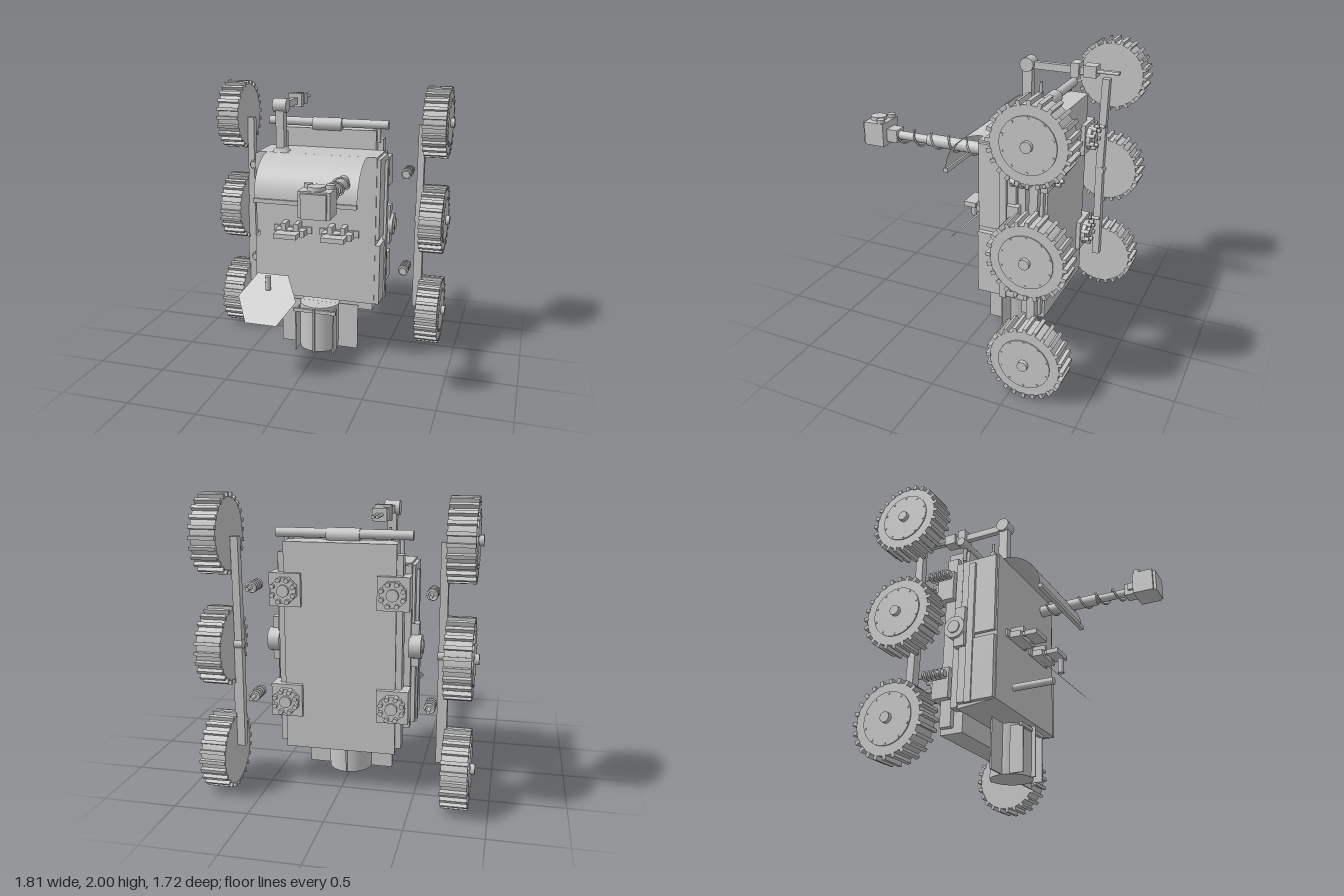
import * as THREE from 'three';

export function createModel() {
  const grey = new THREE.MeshStandardMaterial({ color: 0xc8c8c8 });
  grey.name = 'plain grey';
  const greySheet = new THREE.MeshStandardMaterial({ color: 0xc8c8c8, side: THREE.DoubleSide });
  greySheet.name = 'plain grey sheet';
  const root = new THREE.Group();
  root.name = 'rover';

  const add = (parent, name, geo, x = 0, y = 0, z = 0, mat = grey) => {
    const m = new THREE.Mesh(geo, mat);
    m.name = name;
    m.position.set(x, y, z);
    parent.add(m);
    return m;
  };
  // box given by its limits on each axis
  const box = (parent, name, x0, x1, y0, y1, z0, z1) =>
    add(parent, name, new THREE.BoxGeometry(Math.abs(x1 - x0), y1 - y0, Math.abs(z1 - z0)),
      (x0 + x1) / 2, (y0 + y1) / 2, (z0 + z1) / 2);
  // cylinder along an axis, centred on a point
  const rod = (parent, name, axis, r, len, x, y, z, sides = 20) => {
    const g = new THREE.CylinderGeometry(r, r, len, sides);
    if (axis === 'x') g.rotateZ(-Math.PI / 2);
    if (axis === 'z') g.rotateX(Math.PI / 2);
    return add(parent, name, g, x, y, z);
  };
  // wire wound around an axis parallel to z
  const coil = (parent, name, x, y, z0, z1, r, turns, wire) => {
    const pts = [];
    const n = turns * 12;
    for (let i = 0; i <= n; i++) {
      const a = (i / 12) * Math.PI * 2;
      pts.push(new THREE.Vector3(r * Math.cos(a), r * Math.sin(a), z0 + (z1 - z0) * i / n));
    }
    const curve = new THREE.CatmullRomCurve3(pts);
    return add(parent, name, new THREE.TubeGeometry(curve, n * 2, wire, 6), x, y, 0);
  };

  // Main body, extruded across x from a side profile with a sloped lower edge
  const profile = new THREE.Shape([[0.085, 0.46], [0.375, 0.43], [0.375, 1.55], [0.085, 1.55]]
    .map(p => new THREE.Vector2(p[0], p[1])));
  const bodyGeo = new THREE.ExtrudeGeometry(profile, { depth: 0.88, bevelEnabled: false });
  bodyGeo.translate(0, 0, -0.44).rotateY(Math.PI / 2);
  // after the turn, profile x has become -z
  add(root, 'body', bodyGeo);
  box(root, 'backBody', -0.37, 0.37, 0.29, 1.69, -0.54, -0.37);
  box(root, 'backPlate', -0.41, 0.41, 0.33, 1.62, -0.525, -0.44);
  box(root, 'rearDeck', -0.45, 0.45, 0.44, 1.54, -0.42, -0.37);

  // Side panels, side motors and bar posts
  for (const s of [-1, 1]) {
    box(root, 'upperSidePanel', s * 0.43, s * 0.465, 0.95, 1.535, -0.36, -0.095);
    box(root, 'lowerSidePanel', s * 0.43, s * 0.475, 0.46, 0.91, -0.36, -0.09);
    box(root, 'sideStrip', s * 0.46, s * 0.485, 0.45, 1.5, -0.30, -0.25);
    box(root, 'motorPlate', s * 0.45, s * 0.50, 0.86, 1.155, -0.39, -0.31);
    rod(root, 'sideMotor', 'x', 0.08, 0.08, s * 0.48, 1.0, -0.38, 24);
    rod(root, 'sideMotorCap', 'x', 0.045, 0.02, s * 0.52, 1.0, -0.38, 16);
    for (const x of [0.35, 0.385]) rod(root, 'barPost', 'y', 0.014, 0.12, s * x, 1.66, -0.4, 10);
  }

  // Top bar with its grip
  rod(root, 'topBar', 'x', 0.032, 0.91, 0, 1.732, -0.4, 16);
  rod(root, 'topBarGrip', 'x', 0.05, 0.22, 0, 1.72, -0.395, 16);

  // Curved awning over the front, with an end rail
  const awning = new THREE.CylinderGeometry(0.29, 0.29, 0.74, 24, 1, true, 0, Math.PI / 2);
  awning.rotateZ(Math.PI / 2).rotateX(0);
  // aim the quarter arc so it runs from straight up to straight forward
  const p = awning.attributes.position, nm = awning.attributes.normal;
  for (const a of [p, nm]) for (let i = 0; i < a.count; i++) a.setXYZ(i, a.getX(i), Math.abs(a.getY(i)), Math.abs(a.getZ(i)));
  // keep the winding facing outwards
  const ia = awning.index.array, e1 = new THREE.Vector3(), e2 = new THREE.Vector3(), v0 = new THREE.Vector3(), n0 = new THREE.Vector3();
  for (let t = 0; t < ia.length; t += 3) {
    v0.fromBufferAttribute(p, ia[t]);
    e1.fromBufferAttribute(p, ia[t + 1]).sub(v0);
    e2.fromBufferAttribute(p, ia[t + 2]).sub(v0);
    if (e1.cross(e2).dot(n0.fromBufferAttribute(nm, ia[t])) < 0) [ia[t + 1], ia[t + 2]] = [ia[t + 2], ia[t + 1]];
  }
  add(root, 'awning', awning, 0, 1.26, -0.09, greySheet);
  box(root, 'awningRail', -0.37, 0.37, 1.245, 1.275, 0.185, 0.215);

  // Mast with a rear-pointing arm
  const mast = new THREE.Group();
  mast.name = 'mast';
  root.add(mast);
  add(mast, 'mastFoot', new THREE.CylinderGeometry(0.035, 0.08, 0.05, 4, 1).rotateY(Math.PI / 4), -0.275, 1.57, -0.13);
  box(mast, 'mastPost', -0.305, -0.245, 1.55, 1.86, -0.165, -0.095);
  rod(mast, 'mastJoint', 'x', 0.05, 0.10, -0.275, 1.88, -0.13);
  box(mast, 'mastArm', -0.295, -0.255, 1.85, 1.9, -0.46, -0.13);
  box(mast, 'mastElbow', -0.325, -0.225, 1.83, 1.93, -0.51, -0.45);
  box(mast, 'mastWrist', -0.30, -0.25, 1.85, 1.9, -0.55, -0.5);
  box(mast, 'mastTool', -0.32, -0.23, 1.84, 1.92, -0.63, -0.54);
  for (const x of [-0.288, -0.262]) rod(mast, 'mastProng', 'z', 0.011, 0.16, x, 1.88, -0.70, 10);
  rod(mast, 'mastSupport', 'y', 0.021, 0.15, -0.275, 1.61, -0.225, 12);
  rod(mast, 'mastSupportTip', 'y', 0.011, 0.08, -0.275, 1.72, -0.225, 10);

  // Front arm wrapped by a cable, ending in a camera head
  const arm = new THREE.Group();
  arm.name = 'frontArm';
  root.add(arm);
  rod(arm, 'armSleeve', 'z', 0.043, 0.46, 0.26, 1.415, 0.15);
  rod(arm, 'armRod', 'z', 0.03, 0.7, 0.26, 1.415, 0.27);
  coil(arm, 'armCable', 0.26, 1.415, -0.08, 0.6, 0.05, 5, 0.007);
  box(arm, 'armNeck', 0.21, 0.31, 1.37, 1.46, 0.61, 0.7);
  box(arm, 'cameraHead', 0.16, 0.36, 1.345, 1.51, 0.69, 0.84);
  box(arm, 'cameraFace', 0.18, 0.34, 1.345, 1.5, 0.83, 0.86);
  rod(arm, 'cameraLens', 'y', 0.055, 0.03, 0.26, 1.52, 0.78, 24);
  for (const x of [0.19, 0.33]) rod(arm, 'cameraKnob', 'y', 0.028, 0.03, x, 1.52, 0.72, 12);
  box(arm, 'cameraSideBox', 0.19, 0.22, 1.4, 1.45, 0.64, 0.7);

  // Front handles
  for (const x of [-0.175, 0.175]) {
    const h = new THREE.Group();
    h.name = 'frontHandle';
    h.position.x = x;
    root.add(h);
    box(h, 'handleBase', -0.145, 0.145, 0.96, 1.01, -0.09, -0.07);
    box(h, 'handleBlock', -0.11, 0.11, 0.955, 1.0, -0.08, 0.01);
    for (const s of [-1, 1]) {
      box(h, 'handleLug', s * 0.03, s * 0.065, 0.97, 1.05, -0.09, 0.01);
      box(h, 'handleStem', s * 0.05, s * 0.075, 0.972, 0.998, 0, 0.07);
    }
    box(h, 'handleBar', -0.085, 0.085, 0.965, 1.0, 0.03, 0.12);
  }

  // Hexagonal dish, tilted up and forward, with feed and stalk
  const hex = new THREE.Shape([[-0.215, 0], [-0.115, -0.195], [0.115, -0.195], [0.215, 0], [0.115, 0.195], [-0.115, 0.195]]
    .map(q => new THREE.Vector2(q[0], q[1])));
  const dish = add(root, 'dish', new THREE.ShapeGeometry(hex), -0.24, 0.58, 0.325, greySheet);
  dish.rotation.x = -Math.PI / 4;
  rod(root, 'dishFeed', 'y', 0.022, 0.1, -0.24, 0.69, 0.292, 8);
  rod(root, 'dishStalk', 'z', 0.025, 0.3, -0.24, 0.597, 0.09, 12);

  // Power unit below the body, with fins
  rod(root, 'powerUnit', 'y', 0.15, 0.355, 0, 0.217, -0.19, 20);
  box(root, 'sideFin', -0.3, 0.3, 0.04, 0.395, -0.195, -0.185);
  box(root, 'crossFin', -0.005, 0.005, 0.04, 0.395, -0.35, -0.01);
  for (const s of [-1, 1]) {
    box(root, 'finBar', s * 0.01, s * 0.165, 0.355, 0.38, -0.05, -0.03);
    box(root, 'finPost', s * 0.14, s * 0.15, 0.04, 0.37, -0.13, -0.03);
  }

  // Rear hubs with bolt rings, and sprung dampers
  for (const s of [-1, 1]) for (const y of [0.63, 1.38]) {
    const hub = new THREE.Group();
    hub.name = 'rearHub';
    hub.position.set(s * 0.355, y, 0);
    root.add(hub);
    box(hub, 'hubPad', -0.105, 0.105, -0.11, 0.11, -0.57, -0.44);
    rod(hub, 'hubDisc', 'z', 0.085, 0.04, 0, 0, -0.58, 24);
    rod(hub, 'hubCentre', 'z', 0.04, 0.03, 0, 0, -0.605, 16);
    for (let i = 0; i < 8; i++) {
      const a = (i + 0.5) * Math.PI / 4;
      rod(hub, 'hubBolt', 'z', 0.016, 0.06, 0.075 * Math.cos(a), 0.075 * Math.sin(a), -0.60, 8);
    }
    rod(root, 'damperRod', 'z', 0.013, 0.23, s * 0.595, y, -0.495, 12);
    rod(root, 'damperBody', 'z', 0.026, 0.16, s * 0.595, y, -0.46, 14);
    coil(root, 'damperSpring', s * 0.595, y, -0.55, -0.39, 0.031, 5, 0.008);
  }

  // Rocker beams, slightly bent at the middle
  for (const s of [-1, 1]) {
    const low = box(root, 'rockerBeam', s * 0.65, s * 0.715, 0.29, 1.01, -0.6, -0.545);
    const high = box(root, 'rockerBeam', s * 0.65, s * 0.70, 1.0, 1.72, -0.6, -0.545);
    low.rotation.x = 0.015;
    high.rotation.x = -0.015;
    rod(root, 'rockerPivot', 'x', 0.032, 0.075, s * 0.683, 1.005, -0.575, 14);
  }

  // Six cleated wheels
  for (const s of [-1, 1]) for (const y of [0.263, 1.0, 1.738]) {
    const wheel = new THREE.Group();
    wheel.name = 'wheel';
    wheel.position.set(s * 0.787, y, -0.6);
    root.add(wheel);
    rod(wheel, 'tyre', 'x', 0.236, 0.165, 0, 0, 0, 40);
    rod(wheel, 'wheelDisc', 'x', 0.175, 0.01, s * 0.085, 0, 0, 32);
    rod(wheel, 'wheelHub', 'x', 0.035, 0.04, s * 0.098, 0, 0, 10);
    for (let i = 0; i < 24; i++) {
      const a = i * Math.PI / 12;
      const c = add(wheel, 'cleat', new THREE.BoxGeometry(0.172, 0.032, 0.024), 0, 0.246 * Math.cos(a), 0.246 * Math.sin(a));
      c.rotation.x = a;
    }
    for (let i = 0; i < 10; i++) {
      const a = i * Math.PI / 5;
      rod(wheel, 'wheelBolt', 'x', 0.008, 0.012, s * 0.088, 0.162 * Math.cos(a), 0.162 * Math.sin(a), 6);
    }
  }
  return root;
}
